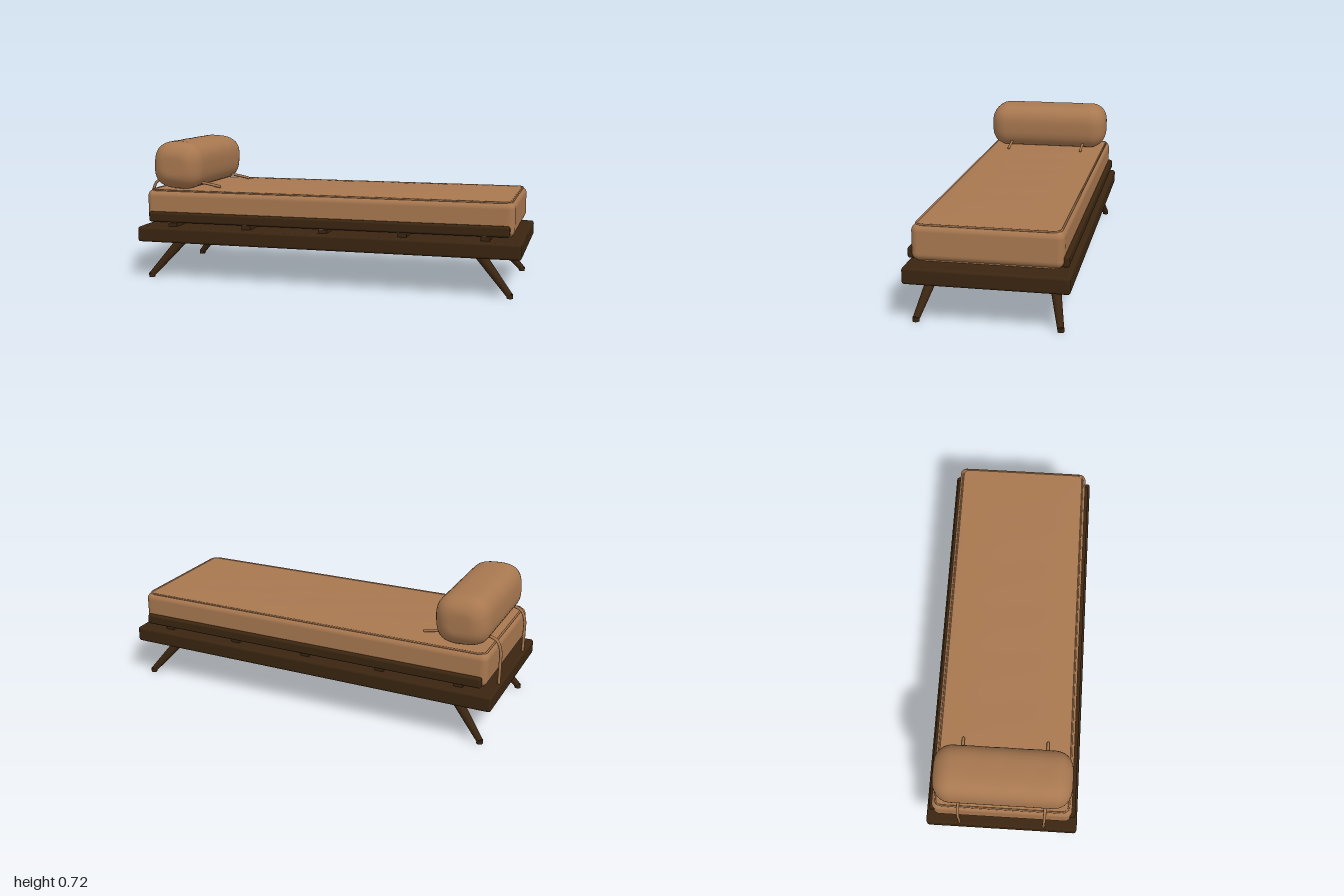
import * as THREE from 'three';
import { RoundedBoxGeometry } from 'three/addons/geometries/RoundedBoxGeometry.js';

const wood = new THREE.MeshStandardMaterial({ name: 'dark wood', color: 0x3a2510 });
const leather = new THREE.MeshStandardMaterial({ name: 'tan leather', color: 0xa87850 });

function add(parent, name, geometry, material, x = 0, y = 0, z = 0) {
  const mesh = new THREE.Mesh(geometry, material);
  mesh.name = name;
  mesh.position.set(x, y, z);
  parent.add(mesh);
  return mesh;
}

// Round bar running from point a to point b
function bar(parent, name, a, b, rA, rB) {
  const dir = b.clone().sub(a);
  const mesh = add(parent, name, new THREE.CylinderGeometry(rB, rA, dir.length(), 24), wood);
  mesh.position.copy(a).add(b).multiplyScalar(0.5);
  mesh.quaternion.setFromUnitVectors(new THREE.Vector3(0, 1, 0), dir.normalize());
}

// Soft crowned top panel, with faint creases
function crownGeometry(w, d) {
  const g = new THREE.PlaneGeometry(w, d, 48, 20).rotateX(-Math.PI / 2);
  const p = g.attributes.position;
  for (let i = 0; i < p.count; i++) {
    const x = p.getX(i), z = p.getZ(i);
    const u = 1 - Math.pow(Math.abs(2 * x / w), 6), v = 1 - Math.pow(Math.abs(2 * z / d), 4);
    const crease = 0.0007 * Math.sin(x * 19 + z * 13) * Math.sin(z * 17 - x * 5);
    p.setY(i, u * v * (0.007 + crease));
  }
  g.computeVertexNormals();
  return g;
}

// Bolster lofted along z from rounded-square sections
function bolsterGeometry() {
  const around = 48, rings = [], pos = [], index = [];
  const capSteps = 9, half = 0.34, round = 0.09;
  rings.push([-half, 0]);
  for (let i = 0; i <= capSteps; i++) {
    const a = (i / capSteps) * Math.PI / 2;
    rings.push([-half + round * (1 - Math.cos(a)), Math.sin(a)]);
  }
  for (let i = 1; i < 14; i++) rings.push([(half - round) * (i / 7 - 1), 1]);
  for (let i = capSteps; i >= 0; i--) rings.push([-rings[i + 1][0], rings[i + 1][1]]);
  rings.push([half, 0]);
  rings.forEach(([z, s], r) => {
    const centre = r === 0 || r === rings.length - 1;
    const inset = 0.085 * (1 - s);
    const rx = centre ? 0 : 0.135 - inset, ry = centre ? 0 : 0.124 - inset;
    for (let j = 0; j < around; j++) {
      const a = (j / around) * Math.PI * 2, c = Math.cos(a), n = Math.sin(a);
      const k = 1 / Math.pow(Math.abs(c) ** 2.9 + Math.abs(n) ** 2.9, 1 / 2.9);
      const ripple = 1 + 0.006 * Math.sin(z * 38 + a * 3) * Math.max(n, 0);
      pos.push(c * k * rx * ripple, n * k * ry * ripple, z);
      if (r > 0) {
        const j2 = (j + 1) % around, p = (r - 1) * around, q = r * around;
        index.push(p + j, p + j2, q + j, p + j2, q + j2, q + j);
      }
    }
  });
  const g = new THREE.BufferGeometry();
  g.setAttribute('position', new THREE.Float32BufferAttribute(pos, 3));
  g.setIndex(index);
  g.computeVertexNormals();
  return g;
}

// Piping loop around a rounded rectangle
function pipingGeometry(hx, hz, r, thickness) {
  const path = new THREE.CurvePath(), V = (x, z) => new THREE.Vector3(x, 0, z);
  const corners = [[1, 1], [-1, 1], [-1, -1], [1, -1]];
  corners.forEach(([sx, sz], i) => {
    const [nx, nz] = corners[(i + 1) % 4];
    const alongX = sz === nz;
    const start = alongX ? V(sx * (hx - r), sz * hz) : V(sx * hx, sz * (hz - r));
    const end = alongX ? V(nx * (hx - r), nz * hz) : V(nx * hx, nz * (hz - r));
    const after = alongX ? V(nx * hx, nz * (hz - r)) : V(nx * (hx - r), nz * hz);
    path.add(new THREE.LineCurve3(start, end));
    path.add(new THREE.QuadraticBezierCurve3(end, V(nx * hx, nz * hz), after));
  });
  return new THREE.TubeGeometry(path, 300, thickness, 6, true);
}

export function createModel() {
  const model = new THREE.Group();
  model.name = 'daybed';

  // Platform, cross slats and side rails
  add(model, 'platform', new RoundedBoxGeometry(2, 0.08, 0.77, 4, 0.014), wood, 0, 0.235, 0);
  for (const x of [-0.82, -0.41, 0, 0.41, 0.82])
    add(model, 'crossSlat', new THREE.BoxGeometry(0.045, 0.035, 0.67), wood, x, 0.285, 0);
  for (const s of [-1, 1])
    add(model, 'sideRail', new RoundedBoxGeometry(1.88, 0.053, 0.06, 4, 0.012), wood, 0, 0.328, s * 0.341);

  // Splayed tapered legs with small feet
  for (const sx of [-1, 1]) for (const sz of [-1, 1]) {
    bar(model, 'leg', new THREE.Vector3(sx * 0.944, 0.014, sz * 0.336),
      new THREE.Vector3(sx * 0.775, 0.215, sz * 0.278), 0.016, 0.028);
    add(model, 'foot', new THREE.CylinderGeometry(0.016, 0.016, 0.02, 20), wood, sx * 0.945, 0.01, sz * 0.337);
  }

  // Mattress with crowned top and piping
  add(model, 'mattress', new RoundedBoxGeometry(1.92, 0.172, 0.7, 6, 0.034), leather, 0, 0.382, 0);
  add(model, 'mattressTop', crownGeometry(1.87, 0.65), leather, 0, 0.4675, 0);
  add(model, 'topPiping', pipingGeometry(0.943, 0.333, 0.04, 0.005), leather, 0, 0.465, 0);
  add(model, 'bottomPiping', pipingGeometry(0.943, 0.333, 0.04, 0.005), leather, 0, 0.299, 0);

  // Bolster cushion
  const bolster = add(model, 'bolster', bolsterGeometry(), leather, -0.808, 0.593, 0);
  bolster.rotation.z = -0.06;

  // Straps from the platform, over the end and beneath the bolster
  const strapPath = new THREE.CatmullRomCurve3([
    [-0.986, 0.27], [-0.986, 0.36], [-0.983, 0.45], [-0.962, 0.495], [-0.92, 0.511],
    [-0.86, 0.507], [-0.75, 0.503], [-0.68, 0.495], [-0.6, 0.48],
  ].map(([x, y]) => new THREE.Vector3(x, y, 0)));
  for (const s of [-1, 1]) {
    const strap = add(model, 'strap', new THREE.TubeGeometry(strapPath, 60, 0.0075, 10), leather, 0, 0, s * 0.214);
    const end = add(strap, 'strapEnd', new THREE.SphereGeometry(0.0075, 10, 8), leather);
    end.position.copy(strapPath.getPoint(1));
  }
  return model;
}
